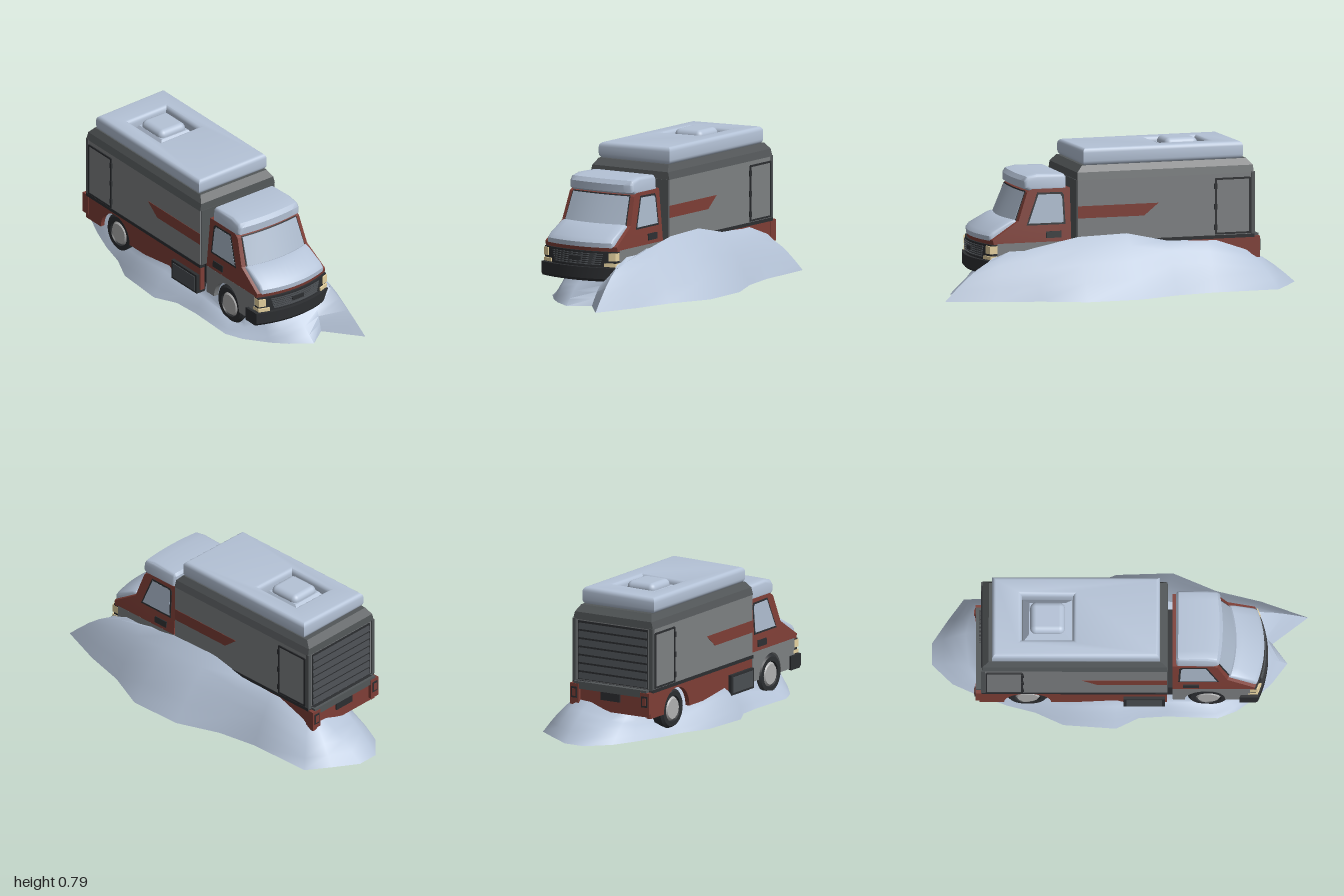
import * as THREE from 'three';
import { toCreasedNormals } from 'three/addons/utils/BufferGeometryUtils.js';
import { RoundedBoxGeometry } from 'three/addons/geometries/RoundedBoxGeometry.js';

const mat = (color, side = THREE.FrontSide) => new THREE.MeshStandardMaterial({ color, side });
const SNOW = mat(0xb4c2d6, THREE.DoubleSide), RED = mat(0x7e3e36), GREY = mat(0x7d8082), TRIM = mat(0x525658);
const DARK = mat(0x2c2e31), GLASS = mat(0xaab8ca), CREAM = mat(0xe6d2a0), HUB = mat(0xb0b0b0), BAR = mat(0x4a4e52);
const REAR_AXLE = -0.49, FRONT_AXLE = 0.47;

function add(parent, name, geo, material) {
  const mesh = new THREE.Mesh(geo, material);
  mesh.name = name;
  parent.add(mesh);
  return mesh;
}

function box(parent, name, material, w, h, d, x, y, z) {
  return add(parent, name, new THREE.BoxGeometry(w, h, d).translate(x, y, z), material);
}

const polygon = pts => new THREE.Shape(pts.map(p => new THREE.Vector2(p[0], p[1])));

// Extrudes a side profile (z, y) across x, centred on x = 0
function across(shape, width, bevel = 0) {
  const geo = new THREE.ExtrudeGeometry(shape, {
    depth: width - 2 * bevel, steps: 10, curveSegments: 10, bevelEnabled: bevel > 0,
    bevelSize: bevel, bevelOffset: -bevel, bevelThickness: bevel, bevelSegments: 3,
  });
  return geo.translate(0, 0, bevel - width / 2).rotateY(-Math.PI / 2);
}

// Cab form: sides lean in above the waist, front bows back towards the corners
function cabForm(geo) {
  const p = geo.attributes.position;
  for (let i = 0; i < p.count; i++) {
    const y = p.getY(i), z = p.getZ(i);
    const x = p.getX(i) * (1 - 0.11 * Math.max(0, (y - 0.3) / 0.27));
    const k = THREE.MathUtils.clamp((z - 0.45) / 0.2, 0, 1);
    p.setXYZ(i, x, y, z - 0.9 * k * x * x);
  }
  return toCreasedNormals(geo, 0.6);
}

// Side panel with a wheel arch cut from its lower edge
function archPanel(z0, z1, top, wheelZ, thick) {
  const s = new THREE.Shape();
  s.moveTo(z0, top);
  s.lineTo(z0, 0.13);
  s.lineTo(wheelZ - 0.125, 0.13);
  s.absarc(wheelZ, 0.13, 0.125, Math.PI, 0, true);
  s.lineTo(z1, 0.13);
  s.lineTo(z1, top);
  return across(s, thick);
}

function addCab(truck) {
  const cab = new THREE.Group();
  cab.name = 'cab';
  truck.add(cab);
  const part = (name, pts, width, material, bevel) =>
    add(cab, name, cabForm(across(polygon(pts), width, bevel)), material);
  part('cabShell', [[0.28, 0.285], [0.76, 0.285], [0.765, 0.31], [0.605, 0.405], [0.535, 0.555], [0.5, 0.572], [0.28, 0.572]], 0.46, RED);
  part('windscreenSeal', [[0.53, 0.557], [0.536, 0.562], [0.61, 0.405], [0.6, 0.4]], 0.41, DARK);
  part('windscreen', [[0.53, 0.552], [0.54, 0.556], [0.613, 0.408], [0.6, 0.405]], 0.4, GLASS);
  part('sideWindowSeal', [[0.31, 0.38], [0.55, 0.38], [0.465, 0.553], [0.325, 0.55], [0.315, 0.535]], 0.462, DARK);
  part('sideWindows', [[0.32, 0.39], [0.535, 0.39], [0.458, 0.543], [0.335, 0.54], [0.325, 0.525]], 0.464, GLASS);
  part('doorHandles', [[0.335, 0.31], [0.42, 0.31], [0.42, 0.345], [0.335, 0.345]], 0.468, DARK);
  part('bonnetSnow', [[0.59, 0.4], [0.62, 0.412], [0.65, 0.405], [0.75, 0.352], [0.768, 0.33], [0.766, 0.305], [0.73, 0.3]], 0.425, SNOW, 0.012);
  part('roofSnow', [[0.3, 0.56], [0.298, 0.63], [0.31, 0.645], [0.46, 0.65], [0.53, 0.638], [0.547, 0.615], [0.545, 0.575], [0.51, 0.56]], 0.462, SNOW, 0.018);
  part('grille', [[0.7, 0.19], [0.768, 0.19], [0.772, 0.285], [0.7, 0.285]], 0.455, DARK);
  part('bumper', [[0.69, 0.125], [0.775, 0.125], [0.788, 0.14], [0.788, 0.2], [0.69, 0.2]], 0.49, DARK);
  for (let i = 0; i < 6; i++) {
    const y = 0.213 + i * 0.011, w = 0.29 + i * 0.006;
    part('grilleSlat', [[0.76, y], [0.777, y], [0.777, y + 0.005], [0.76, y + 0.005]], w, BAR);
  }
  part('grillePlate', [[0.76, 0.233], [0.781, 0.233], [0.781, 0.256], [0.76, 0.256]], 0.075, DARK);
  for (const s of [-1, 1]) {
    const lamp = new THREE.BoxGeometry(0.036, 0.042, 0.05, 3, 1, 1).translate(s * 0.211, 0.257, 0.755);
    add(cab, 'headlight', cabForm(lamp), CREAM);
    const signal = new THREE.BoxGeometry(0.06, 0.018, 0.05, 3, 1, 1).translate(s * 0.2, 0.214, 0.755);
    add(cab, 'turnSignal', cabForm(signal), CREAM);
    const panel = archPanel(0.28, 0.74, 0.29, FRONT_AXLE, 0.03).translate(s * 0.215, 0, 0);
    add(cab, 'fender', cabForm(panel), GREY);
  }
}

function addCargo(truck) {
  const cargo = new THREE.Group();
  cargo.name = 'cargoBox';
  truck.add(cargo);
  box(cargo, 'cargoBody', GREY, 0.5, 0.34, 0.98, 0, 0.45, -0.24);
  box(cargo, 'cargoFront', TRIM, 0.49, 0.33, 0.01, 0, 0.45, 0.251);
  box(cargo, 'sill', DARK, 0.506, 0.018, 0.99, 0, 0.277, -0.24);
  // Roof band and chamfer as tapered blocks
  for (const [y, h, w0, d0, w1, d1] of [[0.635, 0.04, 0.504, 0.985, 0.484, 0.98], [0.6725, 0.035, 0.484, 0.98, 0.445, 0.915]]) {
    const geo = new THREE.BoxGeometry(1, h, 1).toNonIndexed(), p = geo.attributes.position;
    for (let i = 0; i < p.count; i++) {
      const up = p.getY(i) > 0;
      p.setX(i, p.getX(i) * (up ? w1 : w0));
      p.setZ(i, p.getZ(i) * (up ? d1 : d0));
    }
    geo.computeVertexNormals();
    add(cargo, 'roofBand', geo.translate(0, y, -0.24), TRIM);
  }
  // Side stripes, doors and hinges
  add(cargo, 'stripes', across(polygon([[0.25, 0.41], [0.25, 0.475], [-0.2, 0.475], [-0.12, 0.41]]), 0.504), RED);
  for (const s of [-1, 1]) {
    for (const z of [-0.52, -0.71]) box(cargo, 'doorFrame', DARK, 0.008, 0.3, 0.01, s * 0.252, 0.44, z);
    for (const y of [0.295, 0.588]) box(cargo, 'doorFrame', DARK, 0.008, 0.01, 0.19, s * 0.252, y, -0.615);
    box(cargo, 'sideDoor', GREY, 0.006, 0.285, 0.18, s * 0.25, 0.44, -0.615);
    for (const y of [0.33, 0.44, 0.55]) box(cargo, 'hinge', DARK, 0.01, 0.03, 0.016, s * 0.253, y, -0.518);
    box(cargo, 'cornerPost', TRIM, 0.02, 0.34, 0.02, s * 0.242, 0.45, -0.728);
  }
  // Roller shutter at the back
  box(cargo, 'shutterBack', DARK, 0.44, 0.32, 0.006, 0, 0.45, -0.731);
  for (let i = 0; i < 7; i++) {
    const slat = box(cargo, 'shutterSlat', BAR, 0.43, 0.042, 0.006, 0, 0, 0);
    slat.position.set(0, 0.315 + i * 0.045, -0.733);
    slat.rotation.x = 0.15;
  }
  // Snow slab with an opening round the roof hatch, gently uneven on top
  const slab = polygon([[-0.227, -0.212], [-0.227, 0.68], [0.227, 0.68], [0.227, -0.212]]);
  slab.holes.push(new THREE.Path([[-0.125, 0.25], [0.12, 0.25], [0.12, 0.52], [-0.125, 0.52]].map(p => new THREE.Vector2(...p))));
  const snow = new THREE.ExtrudeGeometry(slab, {
    depth: 0.04, bevelSize: 0.022, bevelOffset: -0.022, bevelThickness: 0.025, bevelSegments: 4,
  }).rotateX(-Math.PI / 2).translate(0, 0.712, 0);
  const p = snow.attributes.position;
  for (let i = 0; i < p.count; i++) {
    if (p.getY(i) > 0.74) p.setY(i, p.getY(i) + 0.02 * p.getX(i));
  }
  add(cargo, 'roofSnow', toCreasedNormals(snow, 0.6), SNOW);
  const skirt = new THREE.CylinderGeometry(0.125, 0.172, 0.045, 4, 1).rotateY(Math.PI / 4).scale(1, 1, 1.1);
  add(cargo, 'hatchSides', toCreasedNormals(skirt.translate(-0.002, 0.732, -0.385), 0.3), SNOW);
  add(cargo, 'hatchSnow', new RoundedBoxGeometry(0.175, 0.07, 0.185, 4, 0.032).translate(-0.002, 0.757, -0.385), SNOW);
}

function addUnderbody(truck) {
  const under = new THREE.Group();
  under.name = 'underbody';
  truck.add(under);
  box(under, 'floor', DARK, 0.44, 0.03, 1.44, 0, 0.27, -0.03);
  box(under, 'chassis', DARK, 0.26, 0.1, 1.42, 0, 0.21, -0.03);
  box(under, 'midFloor', DARK, 0.44, 0.08, 0.64, 0, 0.215, 0);
  box(under, 'rearPanel', RED, 0.48, 0.115, 0.02, 0, 0.195, -0.74);
  box(under, 'rearBumper', TRIM, 0.46, 0.04, 0.05, 0, 0.265, -0.74);
  box(under, 'rearStep', DARK, 0.12, 0.05, 0.03, 0, 0.225, -0.745);
  for (const s of [-1, 1]) {
    add(under, 'skirt', archPanel(-0.745, 0.25, 0.27, REAR_AXLE, 0.025).translate(s * 0.234, 0, 0), RED);
    box(under, 'tailLightHousing', RED, 0.056, 0.115, 0.05, s * 0.222, 0.215, -0.743);
    box(under, 'tailLightFrame', DARK, 0.036, 0.06, 0.006, s * 0.222, 0.225, -0.769);
    box(under, 'tailLight', RED, 0.022, 0.04, 0.006, s * 0.222, 0.225, -0.772);
    box(under, 'toolbox', DARK, 0.07, 0.11, 0.22, s * 0.23, 0.165, 0.13);
    box(under, 'toolboxLid', BAR, 0.01, 0.085, 0.19, s * 0.264, 0.165, 0.13);
    for (const z of [REAR_AXLE, FRONT_AXLE]) {
      const wheel = new THREE.Group();
      wheel.name = 'wheel';
      wheel.position.set(s * 0.187, 0.135, z);
      wheel.rotation.z = -s * Math.PI / 2;
      under.add(wheel);
      const tyre = [[0, -0.037], [0.095, -0.037], [0.108, -0.025], [0.108, 0.025], [0.095, 0.037], [0.07, 0.037], [0.066, 0.025], [0, 0.025]];
      add(wheel, 'tyre', toCreasedNormals(new THREE.LatheGeometry(tyre.map(q => new THREE.Vector2(...q)), 28), 0.6), DARK);
      add(wheel, 'hub', new THREE.CylinderGeometry(0.055, 0.067, 0.014, 24).translate(0, 0.031, 0), HUB);
    }
  }
}

// Snow drift: each row is a foot point (x, z) and a shoulder point (x, z, height)
function driftGeometry() {
  const rows = [
    [-0.08, -1, -0.13, -0.74, 0.13], [0.04, -1, 0.05, -0.76, 0.17], [0.17, -0.915, 0.12, -0.76, 0.175],
    [0.29, -0.83, 0.17, -0.73, 0.165], [0.3, -0.47, 0.17, -0.47, 0.255], [0.34, -0.25, 0.167, -0.25, 0.27],
    [0.43, -0.02, 0.167, -0.02, 0.32], [0.44, 0.28, 0.167, 0.25, 0.312], [0.34, 0.51, 0.16, 0.48, 0.265],
    [0.28, 0.75, 0.16, 0.68, 0.22], [0.19, 1, 0.15, 0.75, 0.195], [0.04, 0.81, 0.06, 0.74, 0.125],
    [-0.07, 0.89, -0.08, 0.74, 0.12], [-0.18, 0.81, -0.19, 0.72, 0.11], [-0.25, 0.74, -0.24, 0.67, 0.09],
    [-0.34, 0.62, -0.29, 0.57, 0.05], [-0.38, 0.52, -0.3, 0.47, 0.05], [-0.37, 0.25, -0.3, 0.25, 0.1],
    [-0.38, 0.1, -0.31, 0.1, 0.11], [-0.44, -0.02, -0.335, -0.02, 0.16], [-0.42, -0.3, -0.33, -0.28, 0.13],
    [-0.35, -0.45, -0.28, -0.45, 0.08], [-0.31, -0.6, -0.25, -0.58, 0.07], [-0.25, -0.76, -0.2, -0.68, 0.09],
    [-0.19, -0.89, -0.17, -0.73, 0.11],
  ];
  const pos = [], index = [], n = rows.length, slope = [0, 0.25, 0.5, 0.75, 1], crown = [0.85, 0];
  for (const t of slope) {
    for (const [ox, oz, ix, iz, h] of rows) {
      pos.push(ox + (ix - ox) * t, h * (0.6 * t + 0.4 * Math.sin(t * Math.PI / 2)), oz + (iz - oz) * t);
    }
  }
  // Crown hidden inside the truck, rising steeply behind the shoulder
  for (const k of crown) {
    for (const r of rows) pos.push(-0.09 + (r[2] + 0.09) * k, 0.27, r[3] * k);
  }
  for (let j = 0; j < slope.length + crown.length - 1; j++) {
    for (let i = 0; i < n; i++) {
      const a = j * n + i, b = j * n + (i + 1) % n;
      index.push(a, a + n, b, b, a + n, b + n);
    }
  }
  const geo = new THREE.BufferGeometry();
  geo.setAttribute('position', new THREE.Float32BufferAttribute(pos, 3));
  geo.setIndex(index);
  return toCreasedNormals(geo, 0.9);
}

export function createModel() {
  const model = new THREE.Group();
  model.name = 'snowboundTruck';
  const truck = new THREE.Group();
  truck.name = 'truck';
  truck.position.x = -0.09;
  model.add(truck);
  addCab(truck);
  addCargo(truck);
  addUnderbody(truck);
  add(model, 'snowDrift', driftGeometry(), SNOW);
  return model;
}
